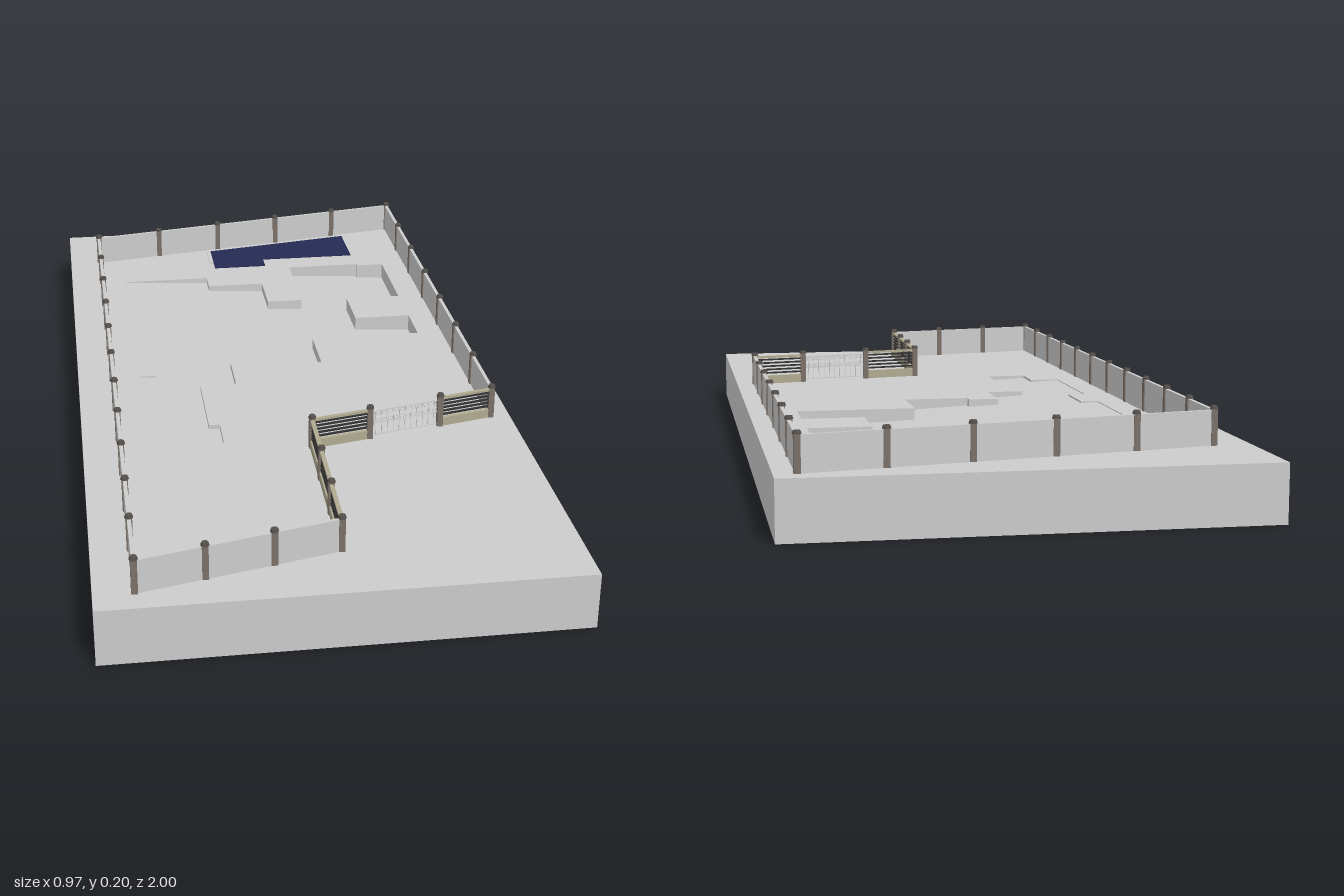
import * as THREE from 'three';

const GROUND = 0.12;
const mat = (color) => new THREE.MeshStandardMaterial({ color });
const grey = mat(0xcccccc), postMat = mat(0x7a7068), capMat = mat(0x55504c);
const stone = mat(0xb0aa90), iron = mat(0x333333), water = mat(0x252a54);

// plan outline given as [x, z] corners
const plan = (pts) => pts.map(([x, z]) => new THREE.Vector2(x, -z));

function add(parent, name, geometry, material, x = 0, y = 0, z = 0) {
  const m = new THREE.Mesh(geometry, material);
  m.name = name;
  m.position.set(x, y, z);
  parent.add(m);
  return m;
}

const box = (w, h, d) => new THREE.BoxGeometry(w, h, d);

// group whose local x axis runs from a to b, standing on the ground
function span(parent, name, a, b) {
  const g = new THREE.Group();
  g.name = name;
  g.position.set((a[0] + b[0]) / 2, GROUND, (a[1] + b[1]) / 2);
  g.rotation.y = -Math.atan2(b[1] - a[1], b[0] - a[0]);
  parent.add(g);
  return { g, len: Math.hypot(b[0] - a[0], b[1] - a[1]) };
}

function post(parent, [x, z]) {
  add(parent, 'post', box(0.013, 0.074, 0.013), postMat, x, GROUND + 0.037, z);
  add(parent, 'postCap', new THREE.CylinderGeometry(0.007, 0.009, 0.007, 8), capMat, x, GROUND + 0.0765, z);
}

function solidPanel(parent, a, b) {
  const { g, len } = span(parent, 'wallPanel', a, b);
  add(g, 'wall', box(len, 0.072, 0.008), grey, 0, 0.036);
}

// low stone plinth with horizontal rails and a top beam
function railPanel(parent, a, b) {
  const { g, len } = span(parent, 'railPanel', a, b);
  add(g, 'plinth', box(len, 0.02, 0.009), stone, 0, 0.01);
  add(g, 'topBeam', box(len, 0.005, 0.009), stone, 0, 0.068);
  for (let i = 0; i < 5; i++) add(g, 'rail', box(len, 0.004, 0.004), iron, 0, 0.027 + i * 0.0085);
}

// a run of equal panels between two corners
function fenceRun(parent, name, a, b, count, panel) {
  const run = new THREE.Group();
  run.name = name;
  parent.add(run);
  const at = (i) => [a[0] + (b[0] - a[0]) * i / count, a[1] + (b[1] - a[1]) * i / count];
  for (let i = 0; i <= count; i++) {
    post(run, at(i));
    if (i < count) panel(run, at(i), at(i + 1));
  }
}

// double gate of slender bars with small scroll rings
function gate(parent, a, b) {
  const { g, len } = span(parent, 'gate', a, b);
  for (const y of [0.006, 0.035, 0.064]) add(g, 'gateRail', box(len, 0.0015, 0.0015), grey, 0, y);
  const bars = 12, step = len / bars;
  for (let i = 0; i <= bars; i++) {
    const x = -len / 2 + i * step;
    add(g, 'gateBar', box(0.001, 0.06, 0.001), grey, x, 0.035);
    if (i === bars) continue;
    for (const y of [0.0405, 0.0585])
      add(g, 'gateScroll', new THREE.TorusGeometry(0.0045, 0.0006, 4, 12), grey, x + step / 2, y);
  }
}

export function createModel() {
  const model = new THREE.Group();
  model.name = 'plot';

  const footprint = plan([
    [-0.34, -0.63], [-0.12, -0.63], [-0.12, -0.57], [0.025, -0.57], [0.025, -0.44], [0.115, -0.44],
    [0.115, -0.68], [0.305, -0.68], [0.305, -0.67], [0.375, -0.67], [0.375, -0.435], [0.235, -0.435],
    [0.235, -0.30], [0.375, -0.30], [0.375, -0.185], [0.105, -0.185], [0.105, -0.04], [-0.045, -0.04],
    [-0.045, -0.065], [-0.115, -0.065], [-0.115, 0.055], [-0.2, 0.055], [-0.2, 0.265], [-0.175, 0.265],
    [-0.175, 0.355], [-0.27, 0.355], [-0.27, 0.265], [-0.34, 0.265], [-0.34, -0.015], [-0.3, -0.015],
    [-0.3, -0.14], [-0.34, -0.14]]);

  // ground block: solid lower half, upper slab cut by the house footprint
  add(model, 'groundBase', box(0.97, 0.06, 2), grey, 0, 0.03, 0);
  const slab = new THREE.Shape(plan([[-0.485, 1], [0.485, 1], [0.485, -1], [-0.485, -1]]));
  slab.holes.push(new THREE.Path(footprint));
  const slabGeo = new THREE.ExtrudeGeometry(slab, { depth: GROUND - 0.06, bevelEnabled: false });
  add(model, 'groundSlab', slabGeo.rotateX(-Math.PI / 2), grey, 0, 0.06, 0);

  // foundation floor, falling gently towards +x
  const floor = new THREE.ShapeGeometry(new THREE.Shape(footprint)).rotateX(-Math.PI / 2);
  const p = floor.attributes.position;
  for (let i = 0; i < p.count; i++) p.setY(i, -0.002 - 0.038 * (p.getX(i) + 0.34) / 0.715);
  floor.computeVertexNormals();
  add(model, 'foundationFloor', floor, grey, 0, GROUND, 0);

  // pool with a narrow edge strip
  const pool = new THREE.Shape(plan([
    [-0.09, -0.70], [0.05, -0.70], [0.05, -0.75], [0.30, -0.75], [0.30, -0.905], [-0.09, -0.83]]));
  const poolGeo = new THREE.ExtrudeGeometry(pool, { depth: 0.002, bevelEnabled: false });
  add(model, 'pool', poolGeo.rotateX(-Math.PI / 2), water, 0, GROUND, 0);
  add(model, 'poolEdge', box(0.01, 0.002, 0.09), grey, -0.096, GROUND + 0.001, -0.785);

  // boundary fence
  const backRight = [-0.405, -0.79], backLeft = [0.44, -0.955], frontLeft = [0.44, 0.305];
  const gateLeft = [0.315, 0.335], gateRight = [0.148, 0.375], inner = [0.014, 0.405];
  const outer = [0.006, 0.845], frontRight = [-0.405, 0.945];
  fenceRun(model, 'rightFence', frontRight, backRight, 11, solidPanel);
  fenceRun(model, 'backFence', backRight, backLeft, 5, solidPanel);
  fenceRun(model, 'leftFence', backLeft, frontLeft, 7, solidPanel);
  fenceRun(model, 'frontFence', frontRight, outer, 3, solidPanel);
  fenceRun(model, 'yardFence', outer, inner, 3, railPanel);
  fenceRun(model, 'gateFenceRight', inner, gateRight, 1, railPanel);
  fenceRun(model, 'gateFenceLeft', gateLeft, frontLeft, 1, railPanel);
  gate(model, gateRight, gateLeft);

  return model;
}
